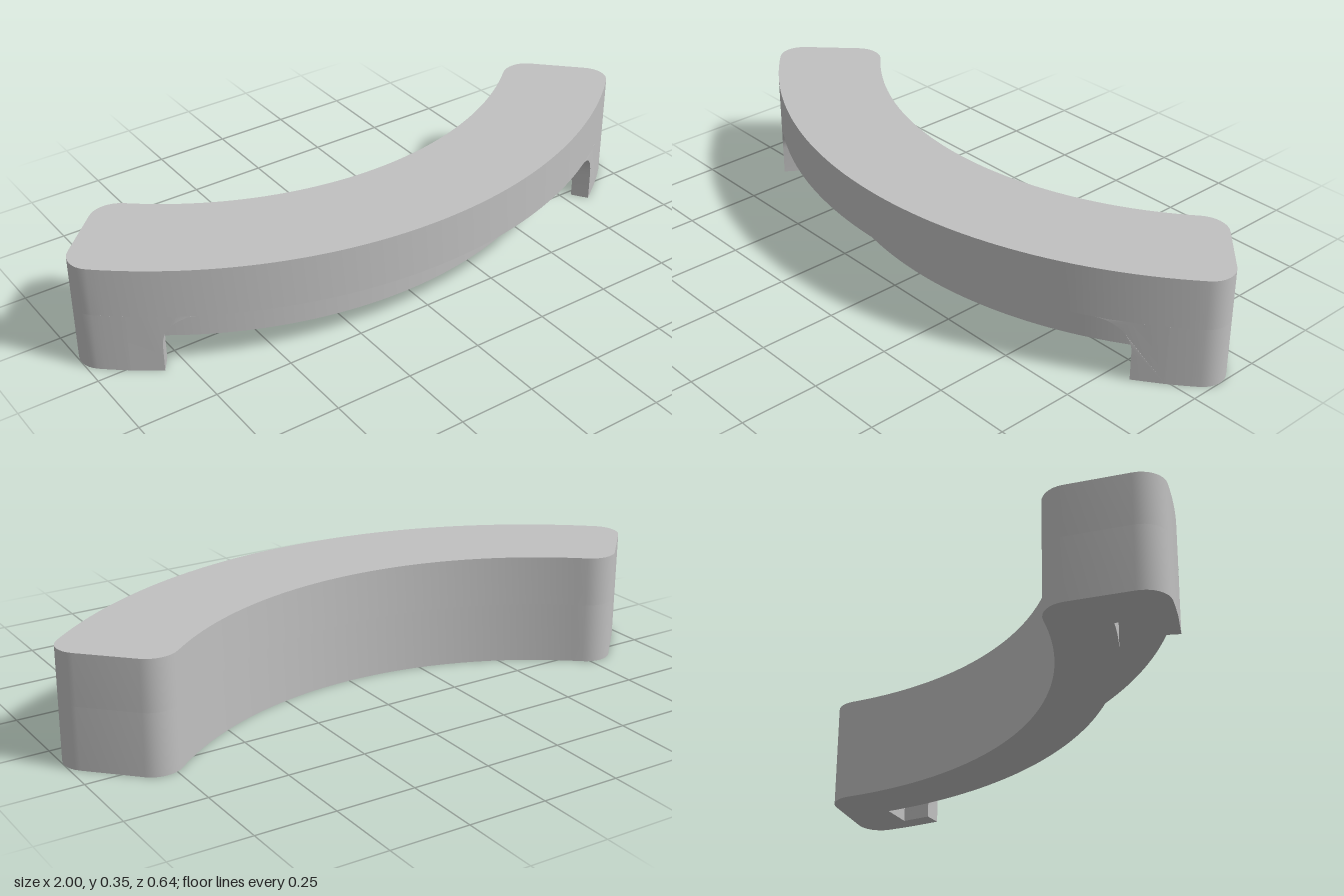
import * as THREE from 'three';
import { toCreasedNormals } from 'three/addons/utils/BufferGeometryUtils.js';

const CENTRE_Z = -1.14;                 // centre of the curved plan
const R_IN = 1.11, R_OUT = 1.46;        // back and front radii
const R_RECESS = 1.29, R_LIP = 1.40;    // recessed wall and back of the lip
const END = Math.PI / 4;                // half sweep of the body
const POCKET = 0.664, LIP = 0.595;      // half sweeps of the pocket and the opening
const HEIGHT = 0.353, SHELF = 0.194, ROUND = 0.08;

const stone = new THREE.MeshStandardMaterial({ color: 0xc0c0c0 });
stone.name = 'light grey';

// plan point (x, -z) at an angle from the front and a radius
const plan = (a, r) => new THREE.Vector2(r * Math.sin(a), -CENTRE_Z - r * Math.cos(a));

function arc(a0, a1, r, n) {
  return Array.from({ length: n + 1 }, (_, i) => plan(a0 + (a1 - a0) * i / n, r));
}

// rounded end corner; side = 1 or -1, out = 1 at the front, -1 at the back
function corner(side, out, t0, t1) {
  const r = out > 0 ? R_OUT : R_IN, n = 8;
  return Array.from({ length: n + 1 }, (_, i) => {
    const t = t0 + (t1 - t0) * i / n;
    return plan(side * (END - ROUND / r * (1 - Math.cos(t))), r - out * ROUND * (1 - Math.sin(t)));
  });
}

function slab(front, y0, y1) {
  const q = Math.PI / 2, aIn = END - ROUND / R_IN;
  const outline = [
    ...corner(-1, 1, 0, q), ...front, ...corner(1, 1, q, 0),
    ...corner(1, -1, 0, q), ...arc(aIn, -aIn, R_IN, 48).slice(1, -1), ...corner(-1, -1, q, 0),
  ];
  const geo = new THREE.ExtrudeGeometry(new THREE.Shape(outline), { depth: y1 - y0, bevelEnabled: false });
  geo.rotateX(-Math.PI / 2).translate(0, y0, 0);
  return toCreasedNormals(geo, 0.5);
}

// curved lip beside the opening, drawn flat as (angle, height) and then bent
function lip(side) {
  const fillet = 0.078, drop = 0.1, pts = [[POCKET, 0], [POCKET, SHELF]];
  for (let i = 1; i < 6; i++) pts.push([POCKET + (LIP - fillet - POCKET) * i / 6, SHELF]);
  for (let i = 0; i <= 12; i++) {
    const t = Math.PI / 2 * (1 - i / 12);
    pts.push([LIP - fillet * (1 - Math.cos(t)), SHELF - drop * (1 - Math.sin(t))]);
  }
  pts.push([LIP, 0]);
  const shape = new THREE.Shape(pts.map(([a, y]) => new THREE.Vector2(side * a, y)));
  const geo = new THREE.ExtrudeGeometry(shape, { depth: R_OUT - R_LIP, bevelEnabled: false });
  const p = geo.attributes.position;
  for (let i = 0; i < p.count; i++) {
    const a = p.getX(i), r = R_LIP + p.getZ(i);
    p.setXYZ(i, r * Math.sin(a), p.getY(i), CENTRE_Z + r * Math.cos(a));
  }
  geo.computeVertexNormals();
  return toCreasedNormals(geo, 0.5);
}

export function createModel() {
  const group = new THREE.Group();
  const add = (name, geo) => {
    const mesh = new THREE.Mesh(geo, stone);
    mesh.name = name;
    group.add(mesh);
  };
  const aOut = END - ROUND / R_OUT;

  // full-depth curved seat
  add('seat', slab(arc(-aOut, aOut, R_OUT, 56).slice(1, -1), SHELF, HEIGHT));

  // base, set back at the front between two full-depth ends
  add('base', slab([
    ...arc(-aOut, -POCKET, R_OUT, 4).slice(1),
    ...arc(-POCKET, POCKET, R_RECESS, 48),
    ...arc(POCKET, aOut, R_OUT, 4).slice(0, -1),
  ], 0, SHELF));

  // lips with rounded tops framing the front opening
  add('leftLip', lip(1));
  add('rightLip', lip(-1));
  return group;
}
